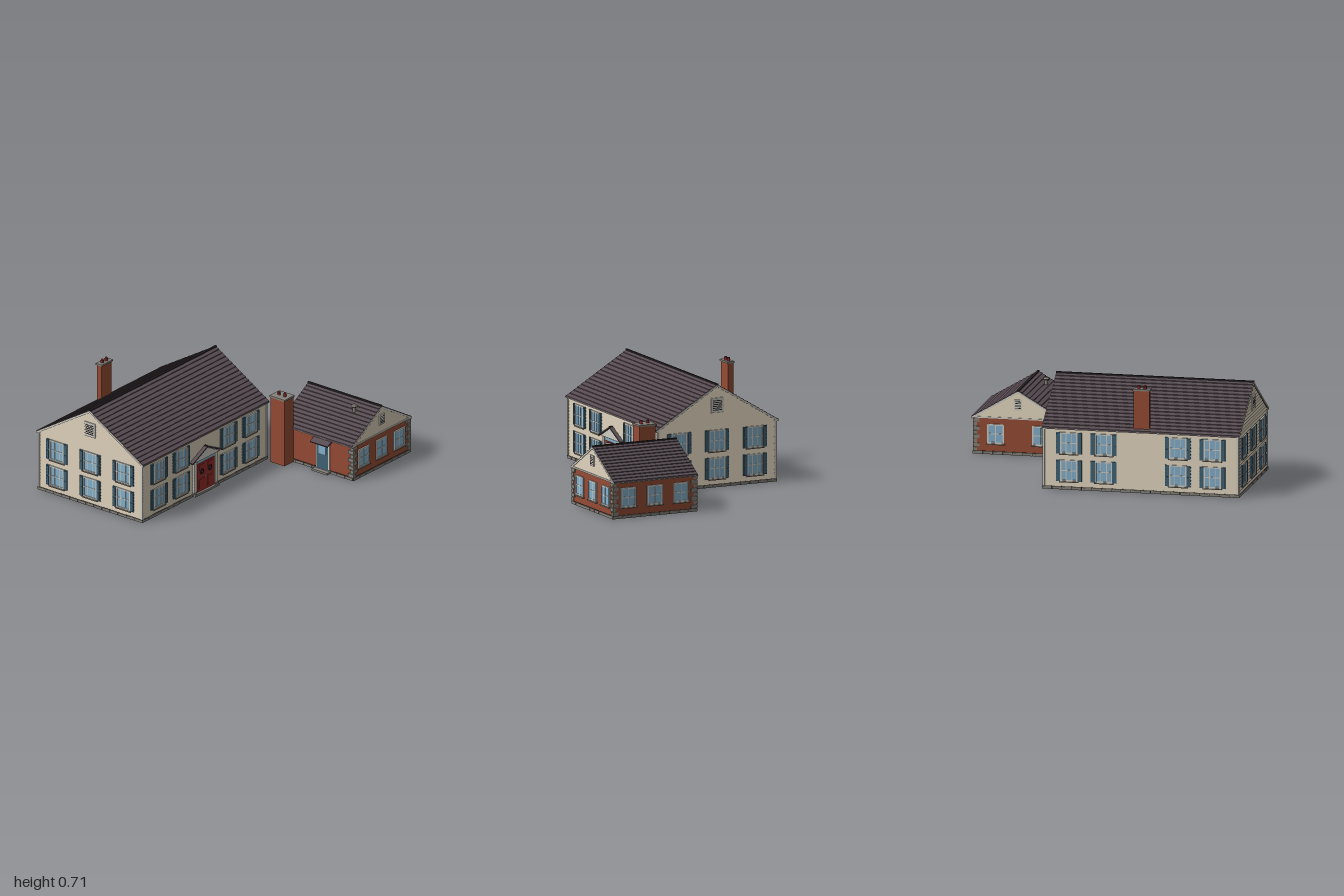
import * as THREE from 'three';

const mat = (name, color, side = THREE.FrontSide) => {
  const m = new THREE.MeshStandardMaterial({ color, side });
  m.name = name;
  return m;
};
const M = {
  cream: mat('cream siding', 0xd2c6b0, THREE.DoubleSide),
  roof: mat('roof shingle', 0x584c52),
  brick: mat('red brick', 0x964b35),
  stone: mat('grey stone', 0x85817a),
  trim: mat('pale trim', 0xcfccc3),
  glass: mat('window glass', 0x84b0cb),
  shutter: mat('blue shutter', 0x3f6174),
  door: mat('red door', 0x902a28),
  dark: mat('dark metal', 0x2c2729),
};

function add(parent, name, geometry, material, x = 0, y = 0, z = 0) {
  const m = new THREE.Mesh(geometry, material);
  m.name = name;
  m.position.set(x, y, z);
  parent.add(m);
  return m;
}
const box = (p, name, material, w, h, d, x, y, z) =>
  add(p, name, new THREE.BoxGeometry(w, h, d), material, x, y, z);
const cyl = (p, name, material, r0, r1, h, x, y, z) =>
  add(p, name, new THREE.CylinderGeometry(r0, r1, h, 14), material, x, y, z);

function group(parent, name, x = 0, y = 0, z = 0, rotY = 0) {
  const g = new THREE.Group();
  g.name = name;
  g.position.set(x, y, z);
  g.rotation.y = rotY;
  parent.add(g);
  return g;
}

// Overlapping clapboards facing +z, half width running from w0 to w1
function siding(parent, name, y0, y1, w0, w1, n) {
  const pos = [], out = 0.004;
  const quad = (a, b, c, d) => pos.push(...a, ...b, ...c, ...a, ...c, ...d);
  for (let i = 0; i < n; i++) {
    const a = i / n, b = (i + 1) / n;
    const ya = y0 + (y1 - y0) * a, yb = y0 + (y1 - y0) * b;
    const wa = w0 + (w1 - w0) * a, wb = w0 + (w1 - w0) * b;
    quad([-wa, ya, out], [wa, ya, out], [wb, yb, 0], [-wb, yb, 0]);
    quad([-wa, ya, 0], [wa, ya, 0], [wa, ya, out], [-wa, ya, out]);
  }
  const g = new THREE.BufferGeometry();
  g.setAttribute('position', new THREE.Float32BufferAttribute(pos, 3));
  g.computeVertexNormals();
  add(parent, name, g, M.cream);
}

// Gable roof with stepped shingle courses, ridge along local z
function gableRoof(parent, half, eave, ridge, length, courses) {
  const right = [], step = 0.005, t = 0.018;
  for (let i = 0; i < courses; i++) {
    const a = i / courses, b = (i + 1) / courses, y = (k) => eave + (ridge - eave) * k;
    right.push([half * (1 - a), y(a)], [half * (1 - b), y(b) - step]);
  }
  const left = right.map(([x, y]) => [-x, y]).reverse();
  const pts = [[half, eave - t * 0.6], ...right, ...left, [-half, eave - t * 0.6], [0, ridge - t]];
  const shape = new THREE.Shape(pts.map((p) => new THREE.Vector2(...p)));
  const geo = new THREE.ExtrudeGeometry(shape, { depth: length - 0.006, bevelEnabled: false });
  add(parent, 'shingle roof', geo.translate(0, 0, -(length - 0.006) / 2), M.roof);
  box(parent, 'ridge cap', M.dark, 0.014, 0.01, length, 0, ridge - 0.004, 0);
  const slope = Math.atan2(ridge - eave, half), len = Math.hypot(half, ridge - eave);
  for (const s of [-1, 1]) {
    box(parent, 'eave edge', M.trim, 0.005, 0.012, length - 0.008, s * (half - 0.003), eave - 0.009, 0);
    for (const e of [-1, 1]) {
      const rake = box(parent, 'rake board', M.trim, len, 0.012, 0.004,
        s * half / 2, (eave + ridge) / 2 - 0.013, e * (length / 2 - 0.002));
      rake.rotation.z = -s * slope;
    }
  }
}

// Framed window with muntins, optional shutters; depth sets how far the glass reaches inward
function windowUnit(parent, x, y, w, h, cols, shutters, depth) {
  const g = group(parent, 'window', x, y, 0);
  box(g, 'glass', M.glass, w, h, depth, 0, 0, 0.005 - depth / 2);
  const f = 0.009;
  for (const s of [-1, 1]) {
    box(g, 'frame side', M.trim, f, h, 0.01, s * (w - f) / 2, 0, 0.004);
    box(g, 'frame rail', M.trim, w, f, 0.01, 0, s * (h - f) / 2, 0.004);
    if (shutters) {
      box(g, 'shutter', M.shutter, 0.028, h, 0.01, s * (w / 2 + 0.014), 0, 0.005);
      for (const t of [-0.25, 0.25])
        box(g, 'shutter panel', M.shutter, 0.018, h * 0.4, 0.003, s * (w / 2 + 0.014), t * h, 0.011);
    }
  }
  for (let i = 1; i < cols; i++)
    box(g, 'muntin', M.trim, 0.0045, h, 0.006, -w / 2 + (w * i) / cols, 0, 0.004);
  box(g, 'meeting rail', M.trim, w, 0.006, 0.007, 0, 0, 0.004);
  box(g, 'sill', M.stone, w + 0.012, 0.008, 0.016, 0, -h / 2 - 0.004, 0.006);
}

// Row of foundation stones
function foundation(parent, width) {
  box(parent, 'foundation joint', M.dark, width, 0.02, 0.004, 0, 0.01, 0.003);
  const n = Math.round(width / 0.065), s = width / n;
  for (let i = 0; i < n; i++)
    box(parent, 'foundation stone', M.stone, s - 0.004, 0.018, 0.009, -width / 2 + s * (i + 0.5), 0.009, 0.004);
}

// Louvred vent in a gable
function gableVent(parent, y, w, h, n) {
  box(parent, 'vent frame', M.trim, w, h, 0.01, 0, y, 0.004);
  for (let i = 0; i < n; i++)
    box(parent, 'vent louvre', M.dark, w * 0.75, h * 0.05, 0.004, 0, y + h * 0.62 * (i / (n - 1) - 0.5), 0.009);
}

function chimney(parent, name, x, z, w, d, y0, y1, pots) {
  const g = group(parent, name, x, 0, z);
  box(g, 'brick stack', M.brick, w, y1 - y0, d, 0, (y0 + y1) / 2, 0);
  box(g, 'cap', M.stone, w + 0.012, 0.012, d + 0.012, 0, y1 + 0.002, 0);
  for (const [px, pz] of pots) {
    cyl(g, 'pot', M.door, 0.009, 0.011, 0.024, px, y1 + 0.018, pz);
    cyl(g, 'pot rim', M.dark, 0.0105, 0.0105, 0.005, px, y1 + 0.022, pz);
  }
}

function entrance(parent) {
  const g = group(parent, 'front entrance');
  box(g, 'step', M.stone, 0.25, 0.016, 0.03, 0, 0.008, 0.01);
  box(g, 'surround', M.trim, 0.22, 0.24, 0.012, 0, 0.126, 0.003);
  box(g, 'transom', M.glass, 0.175, 0.016, 0.006, 0, 0.232, 0.009);
  for (const s of [-1, 1]) {
    box(g, 'door leaf', M.door, 0.087, 0.2, 0.026, s * 0.0443, 0.12, 0);
    for (const y of [0.07, 0.19]) box(g, 'door panel', M.door, 0.055, y < 0.1 ? 0.07 : 0.035, 0.003, s * 0.0443, y, 0.014);
    add(g, 'wreath', new THREE.TorusGeometry(0.015, 0.005, 6, 16), M.dark, s * 0.042, 0.158, 0.015);
    add(g, 'knob', new THREE.SphereGeometry(0.004, 8, 6), M.trim, s * 0.01, 0.112, 0.016);
    box(g, 'pilaster', M.trim, 0.024, 0.225, 0.016, s * 0.111, 0.128, 0.008);
    box(g, 'pilaster foot', M.stone, 0.028, 0.018, 0.02, s * 0.111, 0.02, 0.008);
    const slab = box(g, 'pediment roof', M.roof, 0.172, 0.008, 0.03, s * 0.0765, 0.285, 0.014);
    slab.rotation.z = -s * Math.atan2(0.072, 0.153);
  }
  const tri = new THREE.Shape([[-0.14, 0.245], [0.14, 0.245], [0, 0.315]].map((p) => new THREE.Vector2(...p)));
  add(g, 'pediment', new THREE.ExtrudeGeometry(tri, { depth: 0.022, bevelEnabled: false }), M.trim);
  box(g, 'pediment ridge', M.dark, 0.012, 0.008, 0.031, 0, 0.324, 0.014);
}

function mainHouse(root) {
  const cx = -0.3375, cz = -0.328, hx = 0.652, hz = 0.43;
  const house = group(root, 'main house', cx, 0, cz);
  for (let i = 0; i < 4; i++) {
    const gable = i % 2 === 1, half = gable ? hz : hx, out = gable ? hx : hz, a = (i * Math.PI) / 2;
    const wall = group(house, ['front wall', 'left end wall', 'back wall', 'right end wall'][i],
      Math.sin(a) * out, 0, Math.cos(a) * out, a);
    siding(wall, 'clapboards', 0.016, 0.408, half, half, 18);
    foundation(wall, half * 2 + 0.014);
    for (const s of [-1, 1]) box(wall, 'corner board', M.trim, 0.014, 0.388, 0.007, s * (half - 0.003), 0.214, 0.003);
    for (const x of gable ? [-0.277, 0, 0.277] : [-0.48, -0.248, 0.248, 0.48])
      for (const y of [0.127, 0.311]) windowUnit(wall, x, y, 0.116, 0.142, 3, true, 0.016);
    if (gable) {
      siding(wall, 'gable clapboards', 0.408, 0.667, half, 0.002, 12);
      gableVent(wall, 0.545, 0.088, 0.1, 6);
    }
    if (i === 0) entrance(wall);
  }
  const roof = group(house, 'main roof', 0, 0, 0, Math.PI / 2);
  gableRoof(roof, 0.446, 0.417, 0.687, 1.325, 16);
  chimney(root, 'rear chimney', -0.34, -0.732, 0.105, 0.04, 0.42, 0.685, [[-0.021, 0], [0.021, 0]]);
}

function annex(root) {
  const hx = 0.295, hz = 0.302;
  const g = group(root, 'brick annex', 0.6875, 0, 0.46);
  for (let i = 0; i < 4; i++) {
    const gable = i % 2 === 0, half = gable ? hx : hz, out = gable ? hz : hx, a = (i * Math.PI) / 2;
    const wall = group(g, ['annex front', 'annex left side', 'annex back', 'annex right side'][i],
      Math.sin(a) * out, 0, Math.cos(a) * out, a);
    box(wall, 'brick wall', M.brick, half * 2, 0.228, 0.008, 0, 0.13, -0.004);
    box(wall, 'inner lining', M.cream, half * 2 - 0.012, 0.236, 0.003, 0, 0.12, -0.01);
    foundation(wall, half * 2 + 0.012);
    // Corner quoins alternate long and short
    for (const s of [-1, 1])
      for (let k = 0; k < 8; k++) {
        const w = (k + i) % 2 ? 0.042 : 0.026;
        box(wall, 'quoin', M.stone, w, 0.024, 0.008, s * (half + 0.006 - w / 2), 0.033 + k * 0.0275, 0.003);
      }
    if (gable) {
      box(wall, 'gable band', M.trim, half * 2 + 0.01, 0.01, 0.01, 0, 0.245, 0.002);
      siding(wall, 'gable clapboards', 0.243, 0.418, half, 0.002, 9);
      gableVent(wall, 0.338, 0.052, 0.07, 5);
    }
    const xs = [[-0.187, 0, 0.187], [-0.192, 0, 0.192], [-0.15, 0.15], []][i];
    for (const x of xs) {
      windowUnit(wall, x, 0.137, 0.112, 0.13, 2, false, 0.006);
    }
    if (i === 3) {
      // Side door with its small canopy
      box(wall, 'door frame', M.trim, 0.112, 0.195, 0.01, 0.054, 0.112, 0.002);
      box(wall, 'side door', M.shutter, 0.09, 0.18, 0.028, 0.054, 0.108, -0.004);
      box(wall, 'door light', M.glass, 0.06, 0.06, 0.003, 0.054, 0.155, 0.011);
      box(wall, 'side step', M.stone, 0.13, 0.014, 0.04, 0.054, 0.007, 0.022);
      const canopy = box(wall, 'door canopy', M.roof, 0.146, 0.01, 0.052, 0.054, 0.217, 0.025);
      canopy.rotation.x = 0.45;
    }
  }
  gableRoof(g, 0.3125, 0.251, 0.436, 0.618, 12);
  // Roof vent pipe
  const vent = group(g, 'roof vent', -0.088, 0, 0.147);
  cyl(vent, 'vent pipe', M.stone, 0.012, 0.012, 0.07, 0, 0.395, 0);
  cyl(vent, 'vent cap', M.stone, 0.012, 0.021, 0.012, 0, 0.424, 0);
  cyl(vent, 'vent collar', M.dark, 0.017, 0.017, 0.006, 0, 0.414, 0);
  chimney(root, 'side chimney', 0.338, 0.212, 0.094, 0.116, 0, 0.468, [[0, -0.024], [0, 0.024]]);
}

export function createModel() {
  const root = new THREE.Group();
  root.name = 'house with annex';
  mainHouse(root);
  annex(root);
  return root;
}
